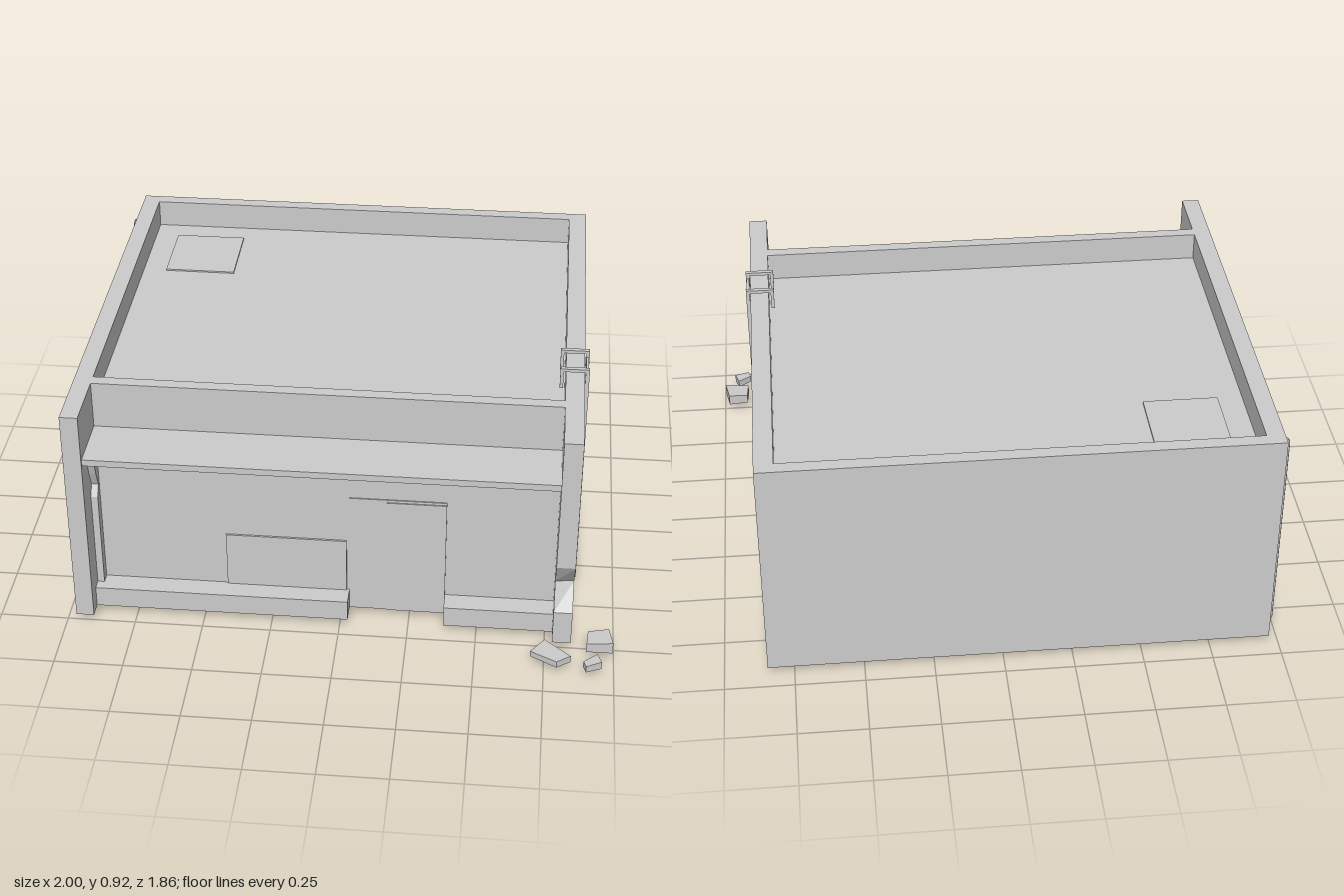
import * as THREE from 'three';

const mat = new THREE.MeshStandardMaterial({ color: 0xcccccc, flatShading: true, side: THREE.DoubleSide });

export function createModel() {
  const root = new THREE.Group();
  root.name = 'shopBuilding';

  function add(name, geometry, parent = root) {
    const mesh = new THREE.Mesh(geometry, mat);
    mesh.name = name;
    parent.add(mesh);
    return mesh;
  }
  // Box given by its limits on each axis
  function box(name, x0, x1, y0, y1, z0, z1, parent) {
    const g = new THREE.BoxGeometry(x1 - x0, y1 - y0, z1 - z0);
    g.translate((x0 + x1) / 2, (y0 + y1) / 2, (z0 + z1) / 2);
    return add(name, g, parent);
  }
  // Upright sheet between two plan points
  function sheet(name, xa, za, xb, zb, y0, y1) {
    const g = new THREE.PlaneGeometry(Math.hypot(xb - xa, zb - za), y1 - y0);
    g.rotateY(-Math.atan2(zb - za, xb - xa));
    g.translate((xa + xb) / 2, (y0 + y1) / 2, (za + zb) / 2);
    return add(name, g);
  }
  const poly = (pts) => new THREE.Shape(pts.map(([a, b]) => new THREE.Vector2(a, b)));
  const extrude = (shape, depth) => new THREE.ExtrudeGeometry(shape, { depth, bevelEnabled: false });
  // Side profile in (z, y), extruded from x towards -x
  const sideways = (g, x) => g.rotateY(-Math.PI / 2).translate(x, 0, 0);

  const L = -0.965, R = 0.845, LI = -0.9, RI = 0.777;
  const back = -0.935, front = 0.76, wallZ = 0.62;
  const y0 = 0.03, top = 0.89, roofY = 0.785;

  // Hollow shell, open underneath
  sheet('backWall', R, back, L, back, y0, roofY);
  sheet('leftSideWall', R, wallZ, R, back, y0, roofY);
  sheet('rightSideWall', L, back, L, wallZ, y0, roofY);
  sheet('frontWall', L, wallZ, R, wallZ, y0, 0.69);
  sheet('upperFrontWall', LI, 0.53, RI, 0.53, 0.7, roofY);

  // Parapet ring around the flat roof
  const ring = poly([[L, -0.53], [R, -0.53], [R, -back], [L, -back]]);
  ring.holes.push(new THREE.Path([[LI, -0.485], [LI, 0.885], [RI, 0.885], [RI, -0.485]]
    .map(([a, b]) => new THREE.Vector2(a, b))));
  add('parapet', extrude(ring, top - roofY).rotateX(-Math.PI / 2).translate(0, roofY, 0));
  const roof = new THREE.PlaneGeometry(RI - LI, 1.37).rotateX(-Math.PI / 2);
  add('roof', roof.translate((LI + RI) / 2, roofY, -0.2));
  box('roofHatch', -0.81, -0.54, roofY, roofY + 0.006, -0.79, -0.5);

  // Side wings that frame the shop front
  const head = [[0.53, top], [0.53, 0.69], [wallZ, 0.69], [wallZ, y0], [front, y0]];
  add('rightWing', sideways(extrude(poly([...head, [front, top]]), LI - L), LI));
  const broken = extrude(poly([...head, [front, 0.165], [0.67, 0.245], [front, 0.365], [front, top]]), R - RI);
  // The chip is shallower on the inner face
  const p = broken.attributes.position;
  for (let i = 0; i < p.count; i++) {
    if (p.getZ(i) > 0.01 && Math.abs(p.getX(i) - 0.67) < 0.001) p.setXY(i, 0.7, 0.262);
  }
  broken.computeVertexNormals();
  add('brokenLeftWing', sideways(broken, R));

  // Canopy and the beam below it
  box('canopy', LI, RI, 0.685, 0.71, 0.53, 0.75);
  box('canopyBeam', -0.875, RI, 0.64, 0.685, wallZ, 0.66);

  // Guide rail with a chipped edge
  const rail = poly([[wallZ, 0.11], [0.66, 0.11], [0.66, 0.49], [0.635, 0.53], [0.66, 0.59], [0.69, 0.685], [wallZ, 0.685]]);
  add('guideRail', sideways(extrude(rail, 0.025), -0.875));

  // Plinths, window panel and door
  box('plinthRight', LI, 0.03, y0, 0.11, wallZ, 0.7);
  box('plinthLeft', 0.38, RI, y0, 0.11, wallZ, 0.7);
  box('windowPanel', -0.42, 0.02, 0.11, 0.33, wallZ, 0.627);
  box('doorFrame', 0.03, 0.38, y0, 0.52, wallZ, 0.624);
  box('doorLeaf', 0.165, 0.38, y0, 0.51, wallZ, 0.628);

  // Roof ladder
  const ladder = new THREE.Group();
  ladder.name = 'ladder';
  root.add(ladder);
  for (const z of [0.178, 0.308]) {
    box('ladderStile', 0.847, 0.861, 0, 0.92, z, z + 0.016, ladder);
    box('ladderTopBar', 0.757, 0.861, 0.908, 0.92, z, z + 0.016, ladder);
    box('ladderHook', 0.757, 0.769, 0.84, 0.92, z, z + 0.016, ladder);
  }
  for (let i = 0; i < 11; i++) {
    const y = 0.1 + i * 0.0785;
    box('ladderRung', 0.849, 0.859, y, y + 0.01, 0.19, 0.31, ladder);
  }

  // Drainpipe
  const pipePath = new THREE.CurvePath();
  const bend = [[-0.992, y0], [-0.992, 0.82], [-0.985, 0.833], [-0.962, 0.833]]
    .map(([x, y]) => new THREE.Vector3(x, y, -0.83));
  for (let i = 0; i < 3; i++) pipePath.add(new THREE.LineCurve3(bend[i], bend[i + 1]));
  add('drainpipe', new THREE.TubeGeometry(pipePath, 60, 0.008, 8));

  // Fallen rubble: plan outline, base height, top height at its two x ends
  const rubble = [
    [[[0.7, 0.85], [0.795, 0.905], [0.845, 0.87], [0.75, 0.78]], 0.033, 0.055, 0.06],
    [[[0.9, 0.81], [0.995, 0.81], [0.98, 0.727], [0.905, 0.737]], 0.035, 0.07, 0.08],
    [[[0.89, 0.895], [0.9, 0.925], [0.955, 0.9], [0.94, 0.855]], 0.035, 0.06, 0.066],
  ];
  for (const [plan, base, ha, hb] of rubble) {
    const g = extrude(poly(plan.map(([x, z]) => [x, -z])), 1).rotateX(-Math.PI / 2);
    const q = g.attributes.position;
    const xs = plan.map((c) => c[0]);
    const xa = Math.min(...xs), xb = Math.max(...xs);
    for (let i = 0; i < q.count; i++) {
      const t = (q.getX(i) - xa) / (xb - xa);
      q.setY(i, q.getY(i) > 0.5 ? ha + (hb - ha) * t : base);
    }
    g.computeVertexNormals();
    add('rubble', g);
  }
  return root;
}
